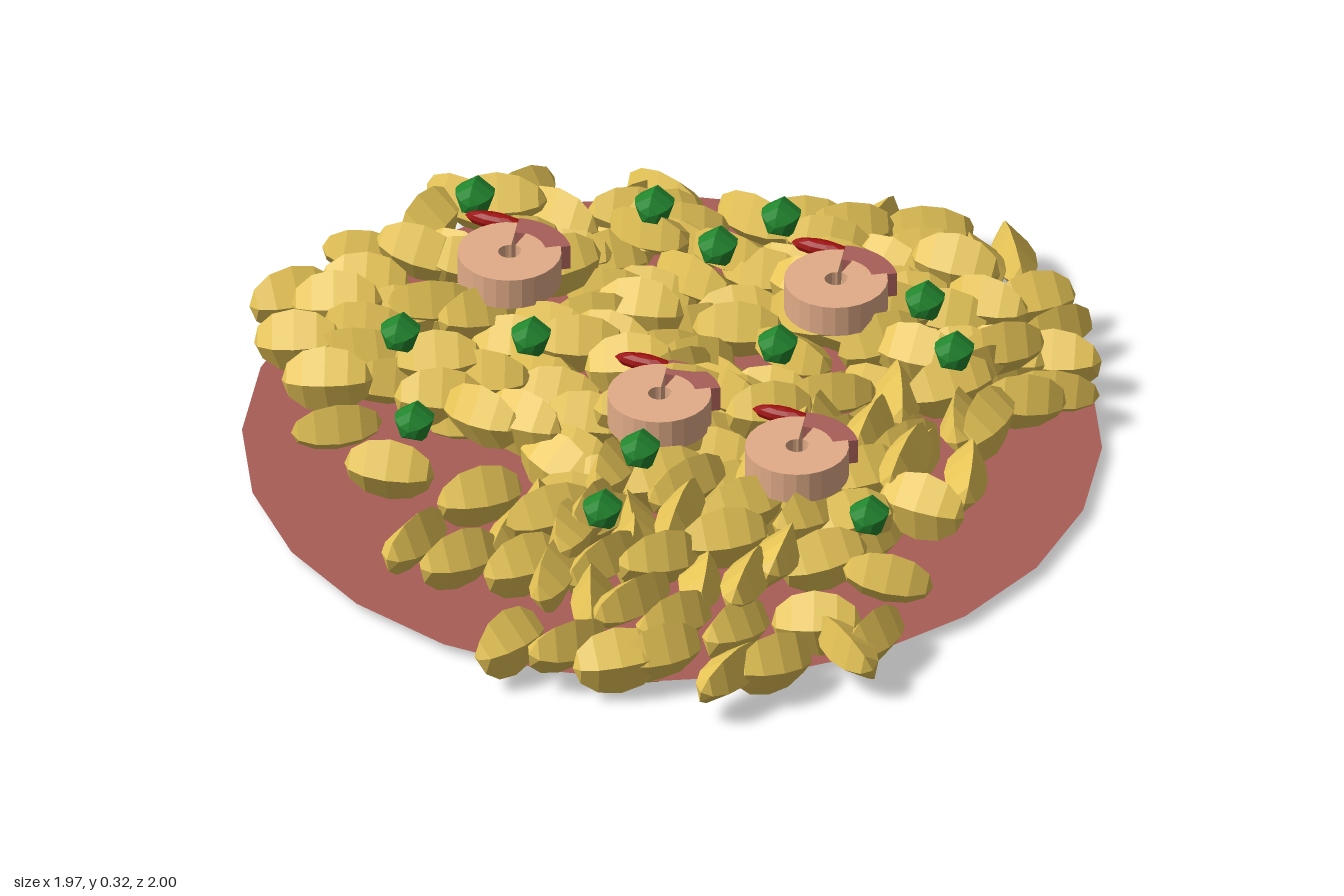
import * as THREE from 'three';

const material = (color, extra = {}) =>
  new THREE.MeshStandardMaterial({ color, flatShading: true, ...extra });

// Small seeded generator, so the scatter is always the same
function seeded(seed) {
  return () => {
    seed = (seed * 16807) % 2147483647;
    return seed / 2147483647;
  };
}

// Outer grains: x, z, heading in degrees
const OUTER_GRAINS = [
  -0.31, -0.79, 60, -0.23, -0.84, -20, -0.01, -0.82, -15, 0.11, -0.81, 10,
  0.20, -0.82, 20, 0.24, -0.87, 80, 0.36, -0.91, 5, 0.38, -0.82, 10,
  0.57, -0.86, -60, 0.52, -0.79, -60, -0.25, -0.67, 20, -0.13, -0.66, 10,
  -0.64, -0.69, -10, -0.52, -0.67, 50, -0.70, -0.60, 70, -0.79, -0.43, 10,
  -0.75, -0.28, 15, -0.90, -0.23, 35, -0.78, -0.17, 10, -0.82, -0.01, 5,
  -0.72, 0.10, 10, -0.64, 0.29, 25, -0.49, 0.38, 5, -0.27, 0.42, 40,
  -0.46, 0.10, 20, -0.34, 0.17, -20, -0.34, 0.68, 70, -0.24, 0.67, 50,
  -0.05, 0.91, 65, 0.08, 0.90, 50, 0.20, 0.91, 30, 0.28, 0.85, 45,
  0.45, 0.89, 70, 0.53, 0.82, 50, 0.67, 0.71, -40, 0.71, 0.66, 70,
  0.58, 0.65, 10, 0.68, 0.44, 10, 0.69, 0.22, -5, 0.60, 0.27, 80,
  0.74, 0.05, -75, 0.62, 0.06, 80, 0.73, -0.14, 80, 0.77, -0.27, 30,
  0.81, -0.38, 15, 0.78, -0.51, 0, 0.74, -0.60, 50, 0.67, -0.68, 40,
];

// Outline (x, z) of the dense middle of the pile
const PILE = [
  [-0.2, -0.7], [-0.6, -0.6], [-0.7, -0.35], [-0.7, 0], [-0.35, 0.1], [-0.15, 0.3],
  [-0.2, 0.45], [-0.15, 0.65], [0.05, 0.8], [0.45, 0.8], [0.5, 0.6], [0.55, 0.4],
  [0.65, 0.1], [0.7, -0.2], [0.7, -0.52], [0.5, -0.75], [0.25, -0.75], [0, -0.6],
];

const PEAS = [
  [-0.56, -0.49], [-0.17, -0.57], [0.11, -0.61], [0.01, -0.46], [0.51, -0.39],
  [0.63, -0.22], [0.25, -0.13], [-0.28, 0], [-0.56, 0.07], [-0.46, 0.29, 0.21],
  [0.08, 0.35], [0.64, 0.45], [0.07, 0.6],
];

const SHRIMP = [[-0.41, 0.315, -0.26], [0.31, 0.315, -0.37], [0.05, 0.27, 0.11], [0.42, 0.315, 0.28]];

function inside(x, z) {
  let hit = false;
  PILE.forEach(([x1, z1], i) => {
    const [x2, z2] = PILE[(i + 1) % PILE.length];
    if ((z1 > z) !== (z2 > z) && x < x1 + ((z - z1) * (x2 - x1)) / (z2 - z1)) hit = !hit;
  });
  return hit;
}

// Flat ring sector lying in the ground plane, its top at y = 0
function sector(inner, outer, from, to, depth) {
  const a = THREE.MathUtils.degToRad(from), b = THREE.MathUtils.degToRad(to);
  const shape = new THREE.Shape();
  shape.absarc(0, 0, outer, a, b, false);
  shape.absarc(0, 0, inner, b, a, true);
  const geometry = new THREE.ExtrudeGeometry(shape, { depth, bevelEnabled: false, curveSegments: 10 });
  return geometry.translate(0, 0, -depth).rotateX(-Math.PI / 2);
}

function add(parent, name, geometry, mat, x = 0, y = 0, z = 0) {
  const mesh = new THREE.Mesh(geometry, mat);
  mesh.name = name;
  mesh.position.set(x, y, z);
  parent.add(mesh);
  return mesh;
}

function addGroup(parent, name) {
  const group = new THREE.Group();
  group.name = name;
  parent.add(group);
  return group;
}

function buildRice(root) {
  const rice = addGroup(root, 'riceGrains');
  const random = seeded(4127);
  const spread = (amount) => (random() * 2 - 1) * amount;
  const mat = material(0xe6c456);
  // Four-sided grain along x, with sharp ridges on top, below and at the sides
  const geometry = new THREE.SphereGeometry(1, 4, 6).rotateZ(Math.PI / 2).scale(0.102, 0.078, 0.05);
  const grain = (x, y, z, heading) => {
    const mesh = add(rice, 'riceGrain', geometry, mat, x, y, z);
    mesh.rotation.set(spread(0.4), THREE.MathUtils.degToRad(heading), spread(0.2), 'YZX');
  };

  for (let i = 0; i < OUTER_GRAINS.length; i += 3) {
    const [x, z, heading] = OUTER_GRAINS.slice(i, i + 3);
    const lift = Math.hypot(x, z) > 0.85 ? 0.02 : 0.09;
    grain(x, 0.1 + lift * random(), z, heading);
  }

  // Fill of the pile: no two grains too close, turning upright towards the front left
  const placed = [];
  for (let i = 0; i < 4000; i++) {
    const x = spread(0.75), z = spread(0.82);
    if (!inside(x, z) || placed.some(([px, pz]) => Math.hypot(px - x, pz - z) < 0.083)) continue;
    placed.push([x, z]);
    const heading = x + z > 0.3 ? 75 + spread(45) : 10 + spread(35);
    grain(x, 0.09 + 0.125 * random(), z, heading);
  }
}

function buildPeas(root) {
  const peas = addGroup(root, 'peas');
  const mat = material(0x22862e);
  // Five-sided pea with one ridge on top
  const geometry = new THREE.SphereGeometry(0.047, 5, 6).rotateX(Math.PI / 2).rotateZ(-Math.PI / 2);
  for (const [x, z, y = 0.283] of PEAS) add(peas, 'pea', geometry, mat, x, y, z);
}

function buildShrimp(root) {
  const flesh = material(0xe2ac88), shell = material(0xa85e58), fin = material(0x9c0e0e);
  const body = sector(0.025, 0.115, 98, 388, 0.075);
  const curl = sector(0.028, 0.08, 28, 80, 0.075);
  const tail = sector(0.08, 0.137, 28, 98, 0.06);
  const tip = new THREE.SphereGeometry(1, 10, 6).scale(0.072, 0.02, 0.021);
  for (const [x, y, z] of SHRIMP) {
    const shrimp = addGroup(root, 'shrimp');
    shrimp.position.set(x, y, z);
    add(shrimp, 'shrimpBody', body, flesh);
    add(shrimp, 'shrimpCurl', curl, flesh);
    add(shrimp, 'shrimpTail', tail, shell, 0, -0.003, 0);
    add(shrimp, 'tailFin', tip, fin, -0.073, -0.02, -0.133).rotation.y = -0.05;
  }
}

export function createModel() {
  const root = new THREE.Group();
  root.name = 'riceDish';

  // Thin flat plate
  const plate = new THREE.CircleGeometry(0.95, 24).rotateX(-Math.PI / 2);
  add(root, 'plate', plate, material(0xa85d57, { side: THREE.DoubleSide }), 0.03, 0.04, -0.05);

  buildRice(root);
  buildShrimp(root);
  buildPeas(root);
  return root;
}
